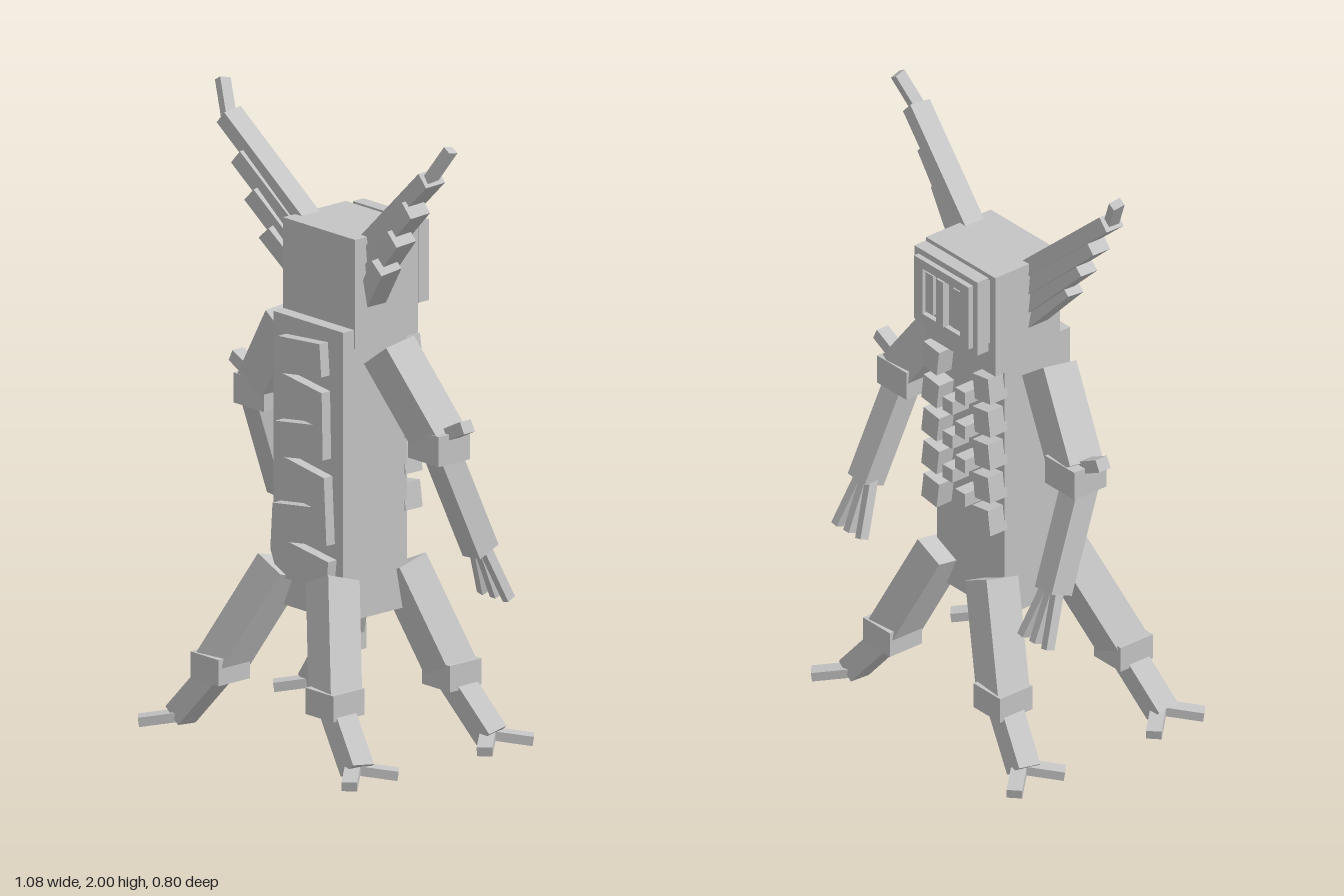
import * as THREE from 'three';

export function createModel() {
  const model = new THREE.Group();
  const grey = new THREE.MeshStandardMaterial({ color: 0xc4c4c4, flatShading: true });
  grey.name = 'plain grey';

  const add = (name, geometry, parent = model) => {
    const mesh = new THREE.Mesh(geometry, grey);
    mesh.name = name;
    parent.add(mesh);
    return mesh;
  };

  // Box given by its lower and upper corners
  const block = (name, a, b, parent) => {
    const size = b.map((v, i) => v - a[i]);
    const mesh = add(name, new THREE.BoxGeometry(...size), parent);
    mesh.position.set(...b.map((v, i) => (v + a[i]) / 2));
    return mesh;
  };

  // Square bar running between two points, its depth kept near the z axis
  const bar = (name, from, to, width, depth, parent) => {
    const a = new THREE.Vector3(...from), b = new THREE.Vector3(...to);
    const y = b.clone().sub(a);
    const length = y.length();
    y.normalize();
    const x = new THREE.Vector3().crossVectors(y, new THREE.Vector3(0, 0, 1)).normalize();
    const z = new THREE.Vector3().crossVectors(x, y);
    const mesh = add(name, new THREE.BoxGeometry(width, length, depth), parent);
    mesh.quaternion.setFromRotationMatrix(new THREE.Matrix4().makeBasis(x, y, z));
    mesh.position.copy(a).add(b).multiplyScalar(0.5);
    return mesh;
  };

  // Body
  block('body', [-0.16, 0.42, -0.15], [0.16, 1.35, 0.115]);
  block('bodyBase', [-0.12, 0.407, -0.015], [0.12, 0.42, 0.07]);

  // Raised chest plate with notches cut from alternate sides
  const outline = [
    [-0.1, 1.29], [0.09, 1.305], [0.098, 1.2], [-0.08, 1.175], [0.1, 1.15],
    [0.105, 0.935], [-0.07, 0.908], [0.11, 0.88],
    [0.122, 0.665], [-0.05, 0.64], [0.13, 0.615], [0.12, 0.52], [-0.1, 0.52], [-0.135, 0.6],
    [-0.125, 0.75], [0.055, 0.775], [-0.12, 0.8],
    [-0.115, 1.015], [0.06, 1.04], [-0.118, 1.06],
  ];
  const chest = new THREE.Shape(outline.map(([x, y]) => new THREE.Vector2(x, y)));
  add('chestPlate', new THREE.ExtrudeGeometry(chest, { depth: 0.04, bevelEnabled: false }))
    .position.z = 0.11;

  // Back ribs and small bumps
  for (let i = 0; i < 5; i++) {
    const y = 1.235 - i * 0.117;
    for (const s of [-1, 1]) {
      const rib = block('backRib', [s * 0.122 - 0.037, y - 0.043, -0.21], [s * 0.122 + 0.037, y + 0.043, -0.14]);
      rib.rotation.z = s * 0.14;
    }
  }
  for (let i = 0; i < 7; i++) {
    const x = i % 2 ? 0.03 : -0.03, y = 1.17 - i * 0.06;
    block('backBump', [x - 0.023, y - 0.023, -0.218], [x + 0.023, y + 0.023, -0.14]);
  }

  // Head with a framed panel behind
  block('head', [-0.165, 1.29, -0.19], [0.165, 1.64, 0.07]);
  block('panelMount', [-0.14, 1.4, -0.21], [0.14, 1.62, -0.18]);
  block('rearPanel', [-0.15, 1.38, -0.25], [0.15, 1.64, -0.205]);
  const frame = new THREE.Shape();
  frame.moveTo(-0.13, 1.4).lineTo(0.13, 1.4).lineTo(0.13, 1.62).lineTo(-0.13, 1.62).closePath();
  const opening = new THREE.Path();
  opening.moveTo(-0.09, 1.43).lineTo(-0.09, 1.59).lineTo(0.09, 1.59).lineTo(0.09, 1.43).closePath();
  frame.holes.push(opening);
  add('panelFrame', new THREE.ExtrudeGeometry(frame, { depth: 0.025, bevelEnabled: false }))
    .position.z = -0.268;
  block('panelCentreBar', [-0.016, 1.43, -0.275], [0.016, 1.59, -0.24]);
  for (const s of [-1, 1]) {
    block('panelSideBar', [s * 0.065 - 0.018, 1.44, -0.262], [s * 0.065 + 0.018, 1.58, -0.24]);
  }

  for (const s of [-1, 1]) {
    const side = s > 0 ? 'left' : 'right';
    const group = (name) => {
      const g = new THREE.Group();
      g.name = side + name;
      model.add(g);
      return g;
    };
    const limb = (name, a, b, w, d, parent) =>
      bar(name, [s * a[0], a[1], a[2]], [s * b[0], b[1], b[2]], w, d, parent);
    const joint = (name, c, size, parent) =>
      block(name, [s * c[0] - size[0] / 2, c[1] - size[1] / 2, c[2] - size[2] / 2],
        [s * c[0] + size[0] / 2, c[1] + size[1] / 2, c[2] + size[2] / 2], parent);

    // Ear: a fan of four bars and a tip
    const ear = group('Ear');
    [
      [0.13, 1.6, 0.465, 1.895], [0.13, 1.54, 0.395, 1.785],
      [0.135, 1.48, 0.332, 1.68], [0.135, 1.425, 0.265, 1.575],
    ].forEach(([x0, y0, x1, y1], i) =>
      limb('earBar', [x0, y0, -0.022], [x1, y1, 0.024 + i * 0.002], i ? 0.06 : 0.052, 0.074, ear));
    limb('earTip', [0.455, 1.88, 0.03], [0.522, 1.992, -0.003], 0.028, 0.04, ear);

    // Arm
    const arm = group('Arm');
    limb('upperArm', [0.22, 1.283, -0.02], [0.4, 1.03, -0.065], 0.125, 0.125, arm);
    joint('elbow', [0.4, 1.013, -0.065], [0.14, 0.096, 0.13], arm);
    limb('elbowSpike', [0.4, 1.03, -0.065], [0.53, 1.095, -0.065], 0.04, 0.045, arm);
    limb('forearm', [0.418, 1.0, -0.055], [0.447, 0.655, -0.195], 0.08, 0.085, arm);
    for (const k of [-1, 0, 1]) {
      limb('finger', [0.443 + k * 0.023, 0.67, -0.193], [0.443 + k * 0.058, 0.497, -0.263], 0.026, 0.032, arm);
    }

    // Front and back legs
    for (const f of [1, -1]) {
      const leg = group(f > 0 ? 'FrontLeg' : 'BackLeg');
      limb('upperLeg', [0.118, 0.545, f > 0 ? 0.12 : -0.165], [0.265, 0.22, f * 0.242], 0.112, 0.122, leg);
      joint('knee', [0.263, 0.218, f * 0.242], [0.128, 0.084, 0.13], leg);
      limb('lowerLeg', [0.26, 0.21, f * 0.242], [0.405, 0.035, f * 0.278], 0.075, 0.08, leg);
      for (const t of [-1, 1]) {
        // Toes spread sideways from the foot, their width lying flat
        const toe = joint('toe', [0.432, 0.03, f * 0.28 + t * 0.047], [0.15, 0.03, 0.048], leg);
        toe.rotation.set(0, -s * t * 0.82, -s * 0.14, 'YXZ');
      }
    }
  }
  return model;
}
